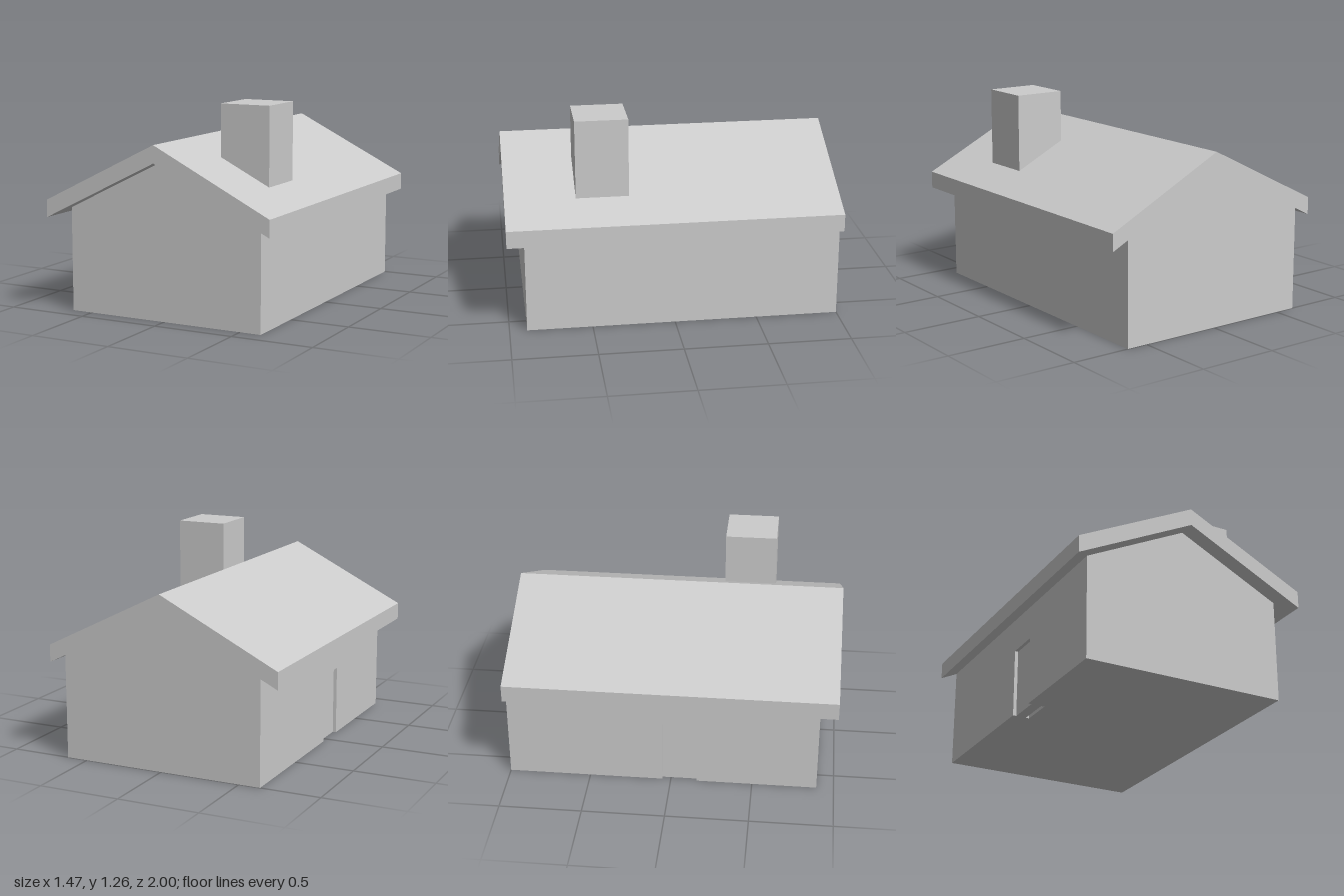
import * as THREE from 'three';

// Dimensions are in modules; the whole house is 19 modules long = 2 units.
const MODULE = 2 / 19;
const BACK = -9.5, FRONT = 8.5, ROOF_FRONT = 9.5;
const DOOR = { z0: -0.5, z1: 1.5, height: 4, recess: 1 };

export function createModel() {
  const model = new THREE.Group();
  model.name = 'house';
  const house = new THREE.Group();
  house.name = 'houseParts';
  house.scale.setScalar(MODULE);
  model.add(house);

  const material = new THREE.MeshStandardMaterial({ color: 0xcccccc, flatShading: true });

  const add = (name, geometry, parent = house) => {
    const mesh = new THREE.Mesh(geometry, material);
    mesh.name = name;
    parent.add(mesh);
    return mesh;
  };
  // Extrude an x-y profile from z0 to z1
  const prism = (points, z0, z1) => {
    const shape = new THREE.Shape(points.map(([x, y]) => new THREE.Vector2(x, y)));
    return new THREE.ExtrudeGeometry(shape, { depth: z1 - z0, bevelEnabled: false }).translate(0, 0, z0);
  };
  const box = (x0, x1, y0, y1, z0, z1) =>
    new THREE.BoxGeometry(x1 - x0, y1 - y0, z1 - z0)
      .translate((x0 + x1) / 2, (y0 + y1) / 2, (z0 + z1) / 2);

  // Gabled body, with a doorway cut into the middle stretch of the -x wall
  const walls = new THREE.Group();
  walls.name = 'walls';
  house.add(walls);
  const gable = [[6, 0], [6, 6], [0, 9], [-6, 6]];
  const inner = -6 + DOOR.recess;
  add('backWalls', prism([...gable, [-6, 0]], BACK, DOOR.z0), walls);
  add('doorwayWalls', prism([...gable, [-6, DOOR.height], [inner, DOOR.height], [inner, 0]],
    DOOR.z0, DOOR.z1), walls);
  add('frontWalls', prism([...gable, [-6, 0]], DOOR.z1, FRONT), walls);

  // Door slab standing inside the doorway
  add('door', box(-5.8, -5.2, 0, DOOR.height, DOOR.z0, DOOR.z1));

  // Pitched roof, overhanging the front and both eaves
  add('roof', prism([[-7, 5.5], [0, 9], [7, 5.5], [7, 6.5], [0, 10], [-7, 6.5]], BACK, ROOF_FRONT));

  // Square chimney rising through the +x slope
  add('chimney', box(2, 5, 7, 12, 2.5, 5.5));

  return model;
}
